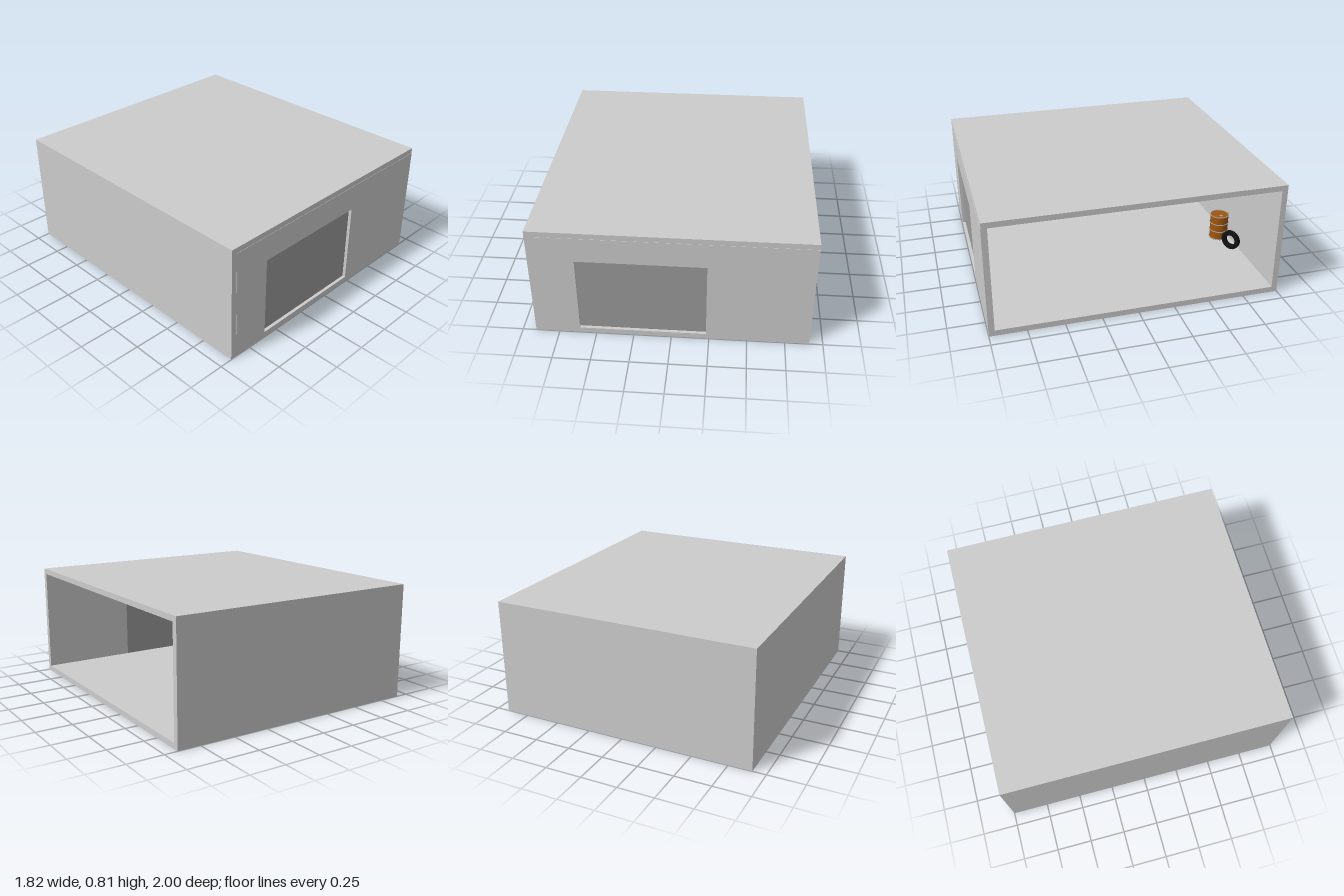
import * as THREE from 'three';

const mat = (color) => new THREE.MeshStandardMaterial({ color });
const GREY = mat(0xcccccc), SHUTTER = mat(0x9b9b9b), BLACK = mat(0x111111), FRAME = mat(0x222222);
const STEEL = mat(0x707070), RED = mat(0x922b2e), BLUE = mat(0x180fc2), WOOD = mat(0x8c420f);
const ORANGE = mat(0xa0560d), METAL = mat(0xa0a0a0);
const WALL = -0.87, FLOOR = 0.04; // inner face of the side wall, top of the floor

function add(parent, name, geometry, material, x = 0, y = 0, z = 0) {
  const mesh = new THREE.Mesh(geometry, material);
  mesh.name = name;
  mesh.position.set(x, y, z);
  parent.add(mesh);
  return mesh;
}

// Box given by its limits on each axis
function box(parent, name, material, [x0, x1], [y0, y1], [z0, z1]) {
  return add(parent, name, new THREE.BoxGeometry(x1 - x0, y1 - y0, z1 - z0), material,
    (x0 + x1) / 2, (y0 + y1) / 2, (z0 + z1) / 2);
}

function group(parent, name) {
  const g = new THREE.Group();
  g.name = name;
  parent.add(g);
  return g;
}

const lathe = (pts, n = 32) => new THREE.LatheGeometry(pts.map(([r, y]) => new THREE.Vector2(r, y)), n);

// Tyre centred on its own origin, axis along y
function tyre(parent, x, y, z) {
  const h = 0.0185;
  const geo = lathe([[0.045, -h], [0.066, -h], [0.073, -h * 0.6], [0.073, h * 0.6],
    [0.066, h], [0.045, h], [0.04, h * 0.7], [0.04, -h * 0.7], [0.045, -h]]);
  return add(parent, 'tyre', geo, BLACK, x, y, z);
}

// Oil drum centred on its own origin, axis along y
function drum(parent, x, y, z) {
  const g = group(parent, 'drum');
  g.position.set(x, y, z);
  const h = 0.0975, r = 0.068;
  add(g, 'drumBody', new THREE.CylinderGeometry(r, r, 2 * h - 0.01, 32), ORANGE);
  for (const ry of [-h + 0.004, -0.03, 0.03, h - 0.004]) {
    const ring = add(g, 'drumRing', new THREE.TorusGeometry(r, 0.004, 8, 32), METAL, 0, ry, 0);
    ring.rotation.x = Math.PI / 2;
  }
  add(g, 'drumCap', new THREE.CylinderGeometry(0.012, 0.012, 0.006, 12), METAL, 0.03, h - 0.003, 0);
  return g;
}

function buildShell(root) {
  const g = group(root, 'garage');
  box(g, 'floor', GREY, [-0.91, 0.91], [0, FLOOR], [-1, 0.998]);
  box(g, 'roof', GREY, [-0.91, 0.91], [0.775, 0.813], [-1, 0.998]);
  box(g, 'sideWall', GREY, [-0.91, WALL], [FLOOR, 0.775], [-1, 0.998]);
  box(g, 'backWall', GREY, [WALL, 0.91], [FLOOR, 0.775], [-1, -0.96]);

  // Front wall with the vehicle door opening
  const s = new THREE.Shape([[WALL, FLOOR], [0.91, FLOOR], [0.91, 0.775], [WALL, 0.775]]
    .map(([x, y]) => new THREE.Vector2(x, y)));
  s.holes.push(new THREE.Path([[-0.61, FLOOR], [-0.61, 0.597], [0.23, 0.597], [0.23, FLOOR]]
    .map(([x, y]) => new THREE.Vector2(x, y))));
  add(g, 'frontWall', new THREE.ExtrudeGeometry(s, { depth: 0.04, bevelEnabled: false }), GREY, 0, 0, 0.96);
  box(g, 'garageDoor', SHUTTER, [-0.61, 0.23], [FLOOR, 0.597], [0.96, 0.978]);
}

function buildWallCabinet(root) {
  const g = group(root, 'wallCabinet');
  const face = WALL + 0.14;
  box(g, 'cabinetBody', METAL, [WALL, face], [0.38, 0.705], [0.635, 0.957]);
  for (const [z0, z1, hz] of [[0.647, 0.791, 0.784], [0.799, 0.943, 0.806]]) {
    box(g, 'cabinetDoor', RED, [face, face + 0.008], [0.392, 0.692], [z0, z1]);
    box(g, 'cabinetHandle', BLACK, [face + 0.008, face + 0.02], [0.53, 0.57], [hz - 0.006, hz + 0.006]);
  }
}

function buildSideDoor(root) {
  const g = group(root, 'sideDoor');
  const jamb = [WALL, WALL + 0.02];
  box(g, 'doorFrame', FRAME, jamb, [FLOOR, 0.52], [0.21, 0.23]);
  box(g, 'doorFrame', FRAME, jamb, [FLOOR, 0.52], [0.47, 0.49]);
  box(g, 'doorFrame', FRAME, jamb, [0.52, 0.54], [0.21, 0.49]);
  box(g, 'doorPanel', STEEL, [WALL, WALL + 0.01], [FLOOR, 0.52], [0.23, 0.47]);
  add(g, 'doorKnob', new THREE.SphereGeometry(0.014, 16, 12), BLACK, WALL + 0.025, 0.272, 0.435);
}

function buildDrawers(root) {
  const g = group(root, 'drawerChest');
  const face = WALL + 0.22;
  box(g, 'chestBody', WOOD, [WALL, face], [FLOOR, 0.3], [-0.505, -0.215]);
  box(g, 'chestTop', WOOD, [WALL, face + 0.01], [0.3, 0.312], [-0.51, -0.21]);
  for (let i = 0; i < 4; i++) {
    const y = 0.202 - i * 0.038;
    box(g, 'drawerRail', METAL, [face, face + 0.008], [y, y + 0.016], [-0.5, -0.22]);
  }
  box(g, 'lowerDrawer', RED, [face, face + 0.004], [0.05, 0.085], [-0.5, -0.36]);
}

function buildWardrobe(root) {
  const g = group(root, 'wardrobe');
  const face = WALL + 0.24;
  box(g, 'wardrobeBody', BLUE, [WALL, face], [FLOOR, 0.655], [-0.96, -0.515]);
  // Dark gap behind the two doors
  box(g, 'doorGap', FRAME, [face, face + 0.002], [0.068, 0.624], [-0.945, -0.535]);
  for (const [z0, z1, hz] of [[-0.942, -0.742, -0.76], [-0.738, -0.538, -0.72]]) {
    box(g, 'wardrobeDoor', BLUE, [face, face + 0.01], [0.072, 0.62], [z0, z1]);
    box(g, 'wardrobeHandle', BLACK, [face + 0.01, face + 0.025], [0.35, 0.37], [hz - 0.013, hz + 0.013]);
  }
}

function buildTyres(root) {
  const g = group(root, 'tyres');
  const x = WALL + 0.09;
  for (const [z, count] of [[0.11, 3], [-0.135, 4]])
    for (let i = 0; i < count; i++) tyre(g, x, FLOOR + 0.0185 + i * 0.037, z);
  // Tyre leaning on the taller stack
  tyre(g, x, 0.11, -0.012).rotation.x = Math.PI / 4;
  // Tyre standing upright by the back wall
  const upright = tyre(g, 0.34, FLOOR + 0.073, -0.9);
  upright.rotation.set(Math.PI / 2, 0, -0.6);
}

function buildDrums(root) {
  const g = group(root, 'drums');
  const y = FLOOR + 0.0975;
  drum(g, WALL + 0.08, y, 0.886);
  drum(g, WALL + 0.08, y, 0.745);
  drum(g, WALL + 0.225, FLOOR + 0.072, 0.807).rotation.x = Math.PI / 2;
  drum(g, 0.14, y, -0.887);
}

export function createModel() {
  const root = new THREE.Group();
  root.name = 'garageRoom';
  buildShell(root);
  buildWallCabinet(root);
  buildSideDoor(root);
  buildDrawers(root);
  buildWardrobe(root);
  buildTyres(root);
  buildDrums(root);
  return root;
}
